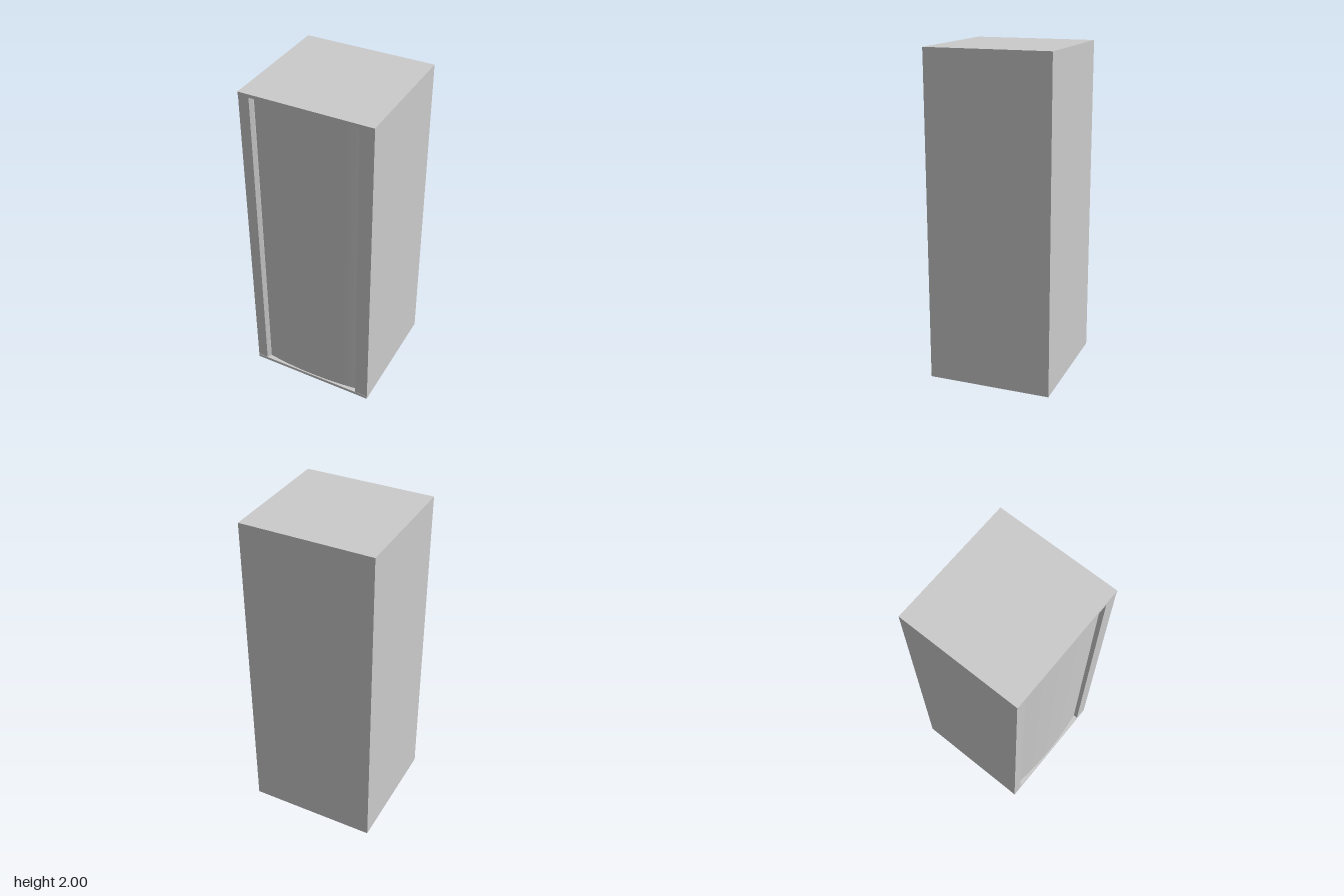
import * as THREE from 'three';

const material = new THREE.MeshStandardMaterial({ color: 0xcccccc });
const LIP = 0.02, BACK = -0.38, BODY_FRONT = 0.335, FRONT = 0.38;

// Upright prism from a plan outline of [x, z] points
function prism(name, points, y0, y1) {
  const shape = new THREE.Shape(points.map(([x, z]) => new THREE.Vector2(x, -z)));
  const geometry = new THREE.ExtrudeGeometry(shape, { depth: y1 - y0, bevelEnabled: false });
  geometry.rotateX(-Math.PI / 2).translate(0, y0, 0);
  const mesh = new THREE.Mesh(geometry, material);
  mesh.name = name;
  return mesh;
}

const rectangle = (x0, x1, z0, z1) => [[x0, z0], [x1, z0], [x1, z1], [x0, z1]];

export function createModel() {
  const group = new THREE.Group();
  group.name = 'cabinet';

  // Plain cabinet body
  group.add(prism('body', rectangle(-0.4, 0.4, BACK, BODY_FRONT), 0, 2));

  // Thin lips along the top and bottom of the front
  group.add(prism('topLip', rectangle(-0.4, 0.4, BODY_FRONT, FRONT), 2 - LIP, 2));
  group.add(prism('bottomLip', rectangle(-0.4, 0.4, BODY_FRONT, FRONT), 0, LIP));

  // Side stiles; the one on the right has a bevelled inner edge
  group.add(prism('leftStile', rectangle(0.315, 0.4, BODY_FRONT, 0.378), LIP, 2 - LIP));
  group.add(prism('rightStile', [
    [-0.4, BODY_FRONT], [-0.32, BODY_FRONT], [-0.32, 0.355], [-0.335, 0.378], [-0.4, 0.378],
  ], LIP, 2 - LIP));

  // Gently bowed door panel between the stiles
  const width = 0.635, segments = 24;
  const door = new THREE.PlaneGeometry(width, 2 - 2 * LIP, segments, 1);
  const p = door.attributes.position;
  for (let i = 0; i < p.count; i++) {
    const t = p.getX(i) / (width / 2);
    p.setZ(i, 0.35 + 0.022 * (1 - t * t));
  }
  door.translate(-0.0025, 1, 0);
  door.computeVertexNormals();
  const panel = new THREE.Mesh(door, material);
  panel.name = 'doorPanel';
  group.add(panel);

  return group;
}
